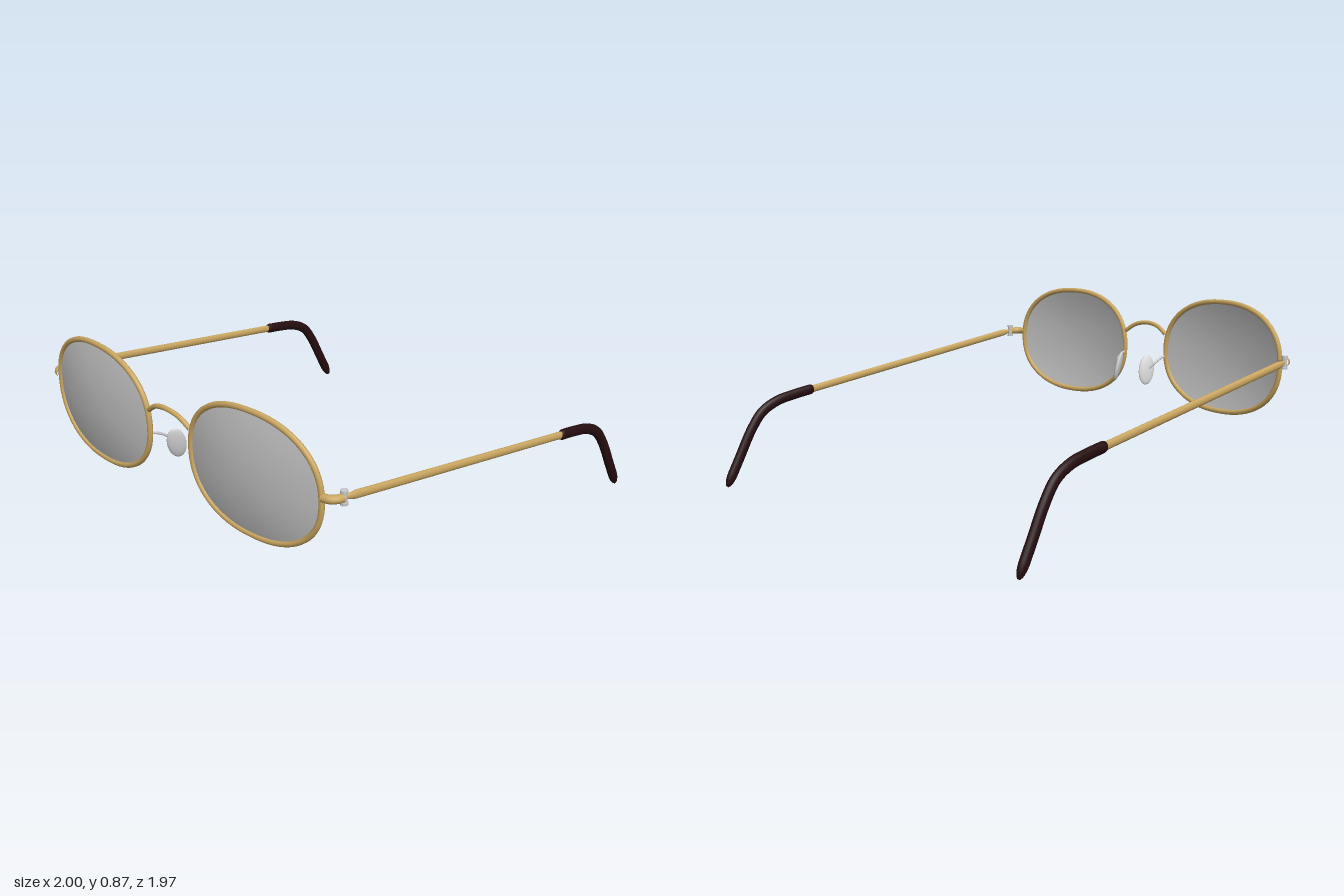
import * as THREE from 'three';
import { mergeVertices } from 'three/addons/utils/BufferGeometryUtils.js';

const V = (x, y, z) => new THREE.Vector3(x, y, z);

function material(name, color, side = THREE.FrontSide) {
  const m = new THREE.MeshStandardMaterial({ color, side });
  m.name = name;
  return m;
}

// Weld seams and recompute smooth normals after vertices were moved
function smooth(geometry) {
  geometry.deleteAttribute('uv');
  geometry.deleteAttribute('normal');
  const g = mergeVertices(geometry, 1e-5);
  g.computeVertexNormals();
  return g;
}

// Sweep an oval section (half width a, half height b) along a curve;
// taper(t) scales the section
function sweep(curve, a, b, taper, segments = 56) {
  const g = new THREE.CylinderGeometry(1, 1, 1, 16, segments);
  const p = g.attributes.position;
  for (let i = 0; i < p.count; i++) {
    const t = THREE.MathUtils.clamp(p.getY(i) + 0.5, 0, 1);
    const k = taper(t);
    const tangent = curve.getTangentAt(t);
    const side = V(1, 0, 0).addScaledVector(tangent, -tangent.x).normalize();
    const up = side.clone().cross(tangent);
    const q = curve.getPointAt(t)
      .addScaledVector(side, a * k * p.getX(i))
      .addScaledVector(up, b * k * p.getZ(i));
    p.setXYZ(i, q.x, q.y, q.z);
  }
  return smooth(g);
}

// Lens outline: a slightly squared oval, wrapped gently around the face
const CX = 0.492, CY = 0.59, HW = 0.356, HH = 0.273;
function lensPoint(s, angle, r) {
  const pow = (v) => Math.sign(v) * Math.pow(Math.abs(v), 2 / 2.25);
  const u = r * pow(Math.cos(angle)), v = r * pow(Math.sin(angle));
  const z = 0.943 - 0.02 * u - 0.011 * u * u + 0.037 * (1 - r * r);
  return V(s * (CX + HW * u), CY + HH * v, z);
}

function lensGeometry(s) {
  const g = new THREE.PlaneGeometry(1, 1, 72, 12);
  const p = g.attributes.position;
  for (let i = 0; i < p.count; i++) {
    const q = lensPoint(s, -s * (p.getX(i) + 0.5) * Math.PI * 2, p.getY(i) + 0.5);
    p.setXYZ(i, q.x, q.y, q.z);
  }
  return smooth(g);
}

export function createModel() {
  const gold = material('gold metal', 0xc9a660);
  const silver = material('silver metal', 0xc8c8cc);
  const glass = material('lens grey', 0xc2c2c2, THREE.DoubleSide);
  const padMat = material('pad pale grey', 0xd4d4d4);
  const dark = material('dark brown tip', 0x260d0f);

  const model = new THREE.Group();
  model.name = 'spectacles';
  const add = (name, geometry, mat, parent = model) => {
    const mesh = new THREE.Mesh(geometry, mat);
    mesh.name = name;
    parent.add(mesh);
    return mesh;
  };
  const tube = (points, r, n = 24) =>
    new THREE.TubeGeometry(new THREE.CatmullRomCurve3(points), n, r, 12);

  // Arched bridge between the rims
  add('bridge', tube([
    V(-0.135, 0.67, 0.952), V(-0.075, 0.708, 0.96), V(0, 0.722, 0.965),
    V(0.075, 0.708, 0.96), V(0.135, 0.67, 0.952),
  ], 0.011, 40), gold);

  for (const s of [1, -1]) {
    const half = new THREE.Group();
    half.name = s > 0 ? 'leftSide' : 'rightSide';
    model.add(half);

    // Lens and its wire rim
    add('lens', lensGeometry(s), glass, half);
    const outline = [];
    for (let i = 0; i < 64; i++) outline.push(lensPoint(s, (i / 64) * Math.PI * 2, 1));
    add('rim', new THREE.TubeGeometry(
      new THREE.CatmullRomCurve3(outline, true), 128, 0.0125, 10, true), gold, half);

    // End piece curving back from the rim to the hinge
    add('endPiece', tube([
      V(s * 0.85, 0.613, 0.913), V(s * 0.88, 0.613, 0.905),
      V(s * 0.9, 0.613, 0.885), V(s * 0.908, 0.613, 0.858),
    ], 0.018), gold, half);

    // Hinge barrel with a cap at each end
    add('hinge', new THREE.CylinderGeometry(0.012, 0.012, 0.056, 16), silver, half)
      .position.set(s * 0.909, 0.614, 0.855);
    for (const y of [0.588, 0.64]) {
      add('hingeCap', new THREE.CylinderGeometry(0.016, 0.016, 0.01, 16), silver, half)
        .position.set(s * 0.909, y, 0.855);
    }

    // Slim temple arm, pointed at the hinge
    const arm = new THREE.LineCurve3(V(s * 0.911, 0.613, 0.848), V(s * 0.965, 0.424, -0.51));
    add('temple', sweep(arm, 0.0125, 0.018,
      (t) => Math.min(1, 0.45 + t * 18)), gold, half);

    // Ear tip sleeve, bent down behind the ear
    const hook = new THREE.CatmullRomCurve3([
      V(s * 0.964, 0.428, -0.485), V(s * 0.967, 0.413, -0.59),
      V(s * 0.97, 0.392, -0.69), V(s * 0.973, 0.348, -0.775),
      V(s * 0.976, 0.27, -0.837), V(s * 0.979, 0.14, -0.908),
      V(s * 0.981, 0.008, -0.98),
    ]);
    add('earTip', sweep(hook, 0.019, 0.025, (t) => {
      const end = Math.max(0, (t - 0.9) / 0.1);
      return Math.min(1, 0.8 + t * 12) * Math.sqrt(1 - 0.92 * end * end);
    }), dark, half);

    // Nose pad on a thin wire
    add('padArm', tube([
      V(s * 0.135, 0.56, 0.945), V(s * 0.131, 0.55, 0.915),
      V(s * 0.124, 0.53, 0.88), V(s * 0.102, 0.498, 0.85),
    ], 0.006), silver, half);
    const pad = add('nosePad', new THREE.SphereGeometry(1, 24, 16), padMat, half);
    pad.scale.set(0.014, 0.077, 0.042);
    pad.rotation.set(0.2, s * 0.5, s * 0.1);
    pad.position.set(s * 0.094, 0.494, 0.848);
  }
  return model;
}
